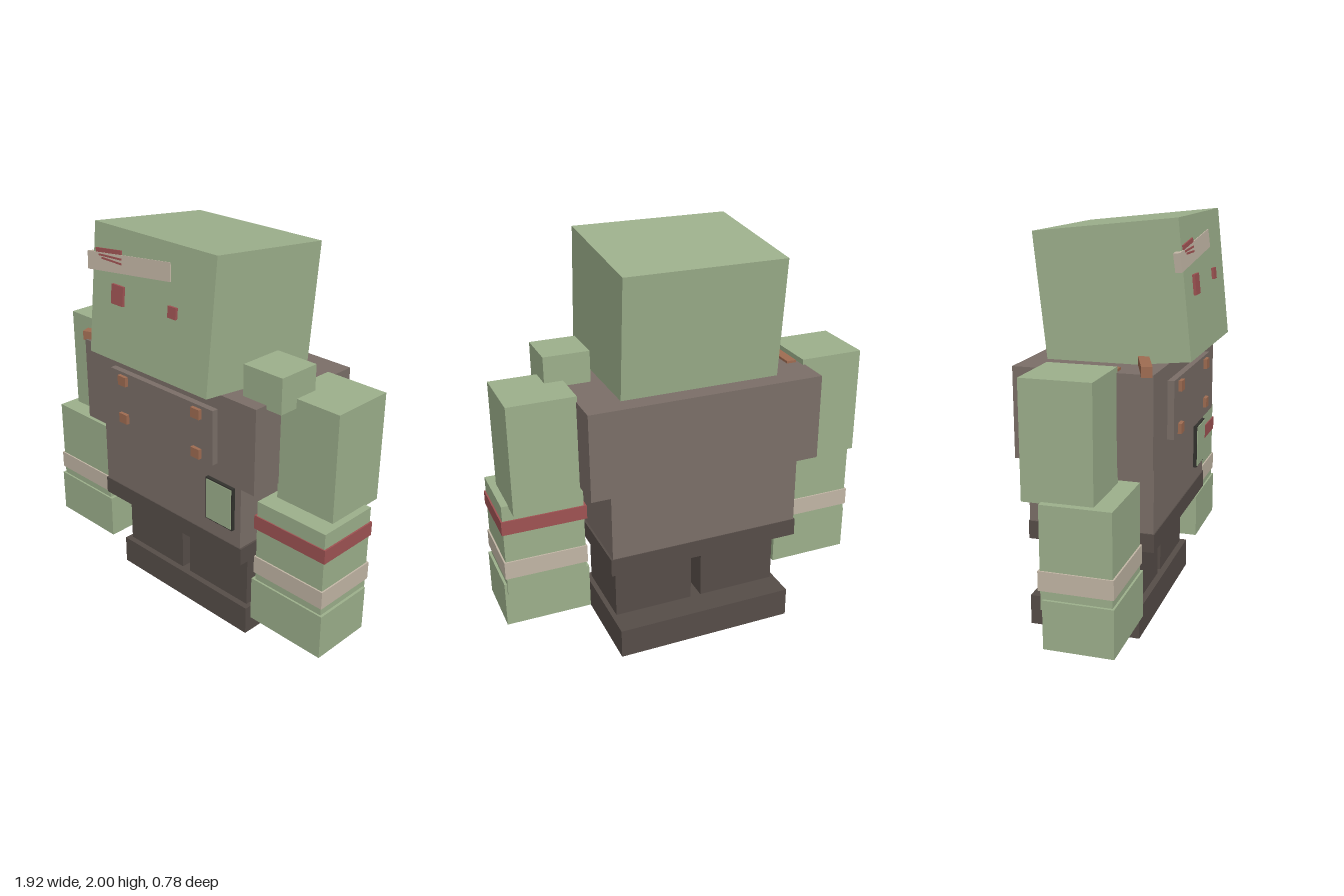
import * as THREE from 'three';

const mat = (name, color) => {
  const m = new THREE.MeshStandardMaterial({ color });
  m.name = name;
  return m;
};

export function createModel() {
  const green = mat('green skin', 0x9db08c);
  const vest = mat('brown vest', 0x7b6f68);
  const dark = mat('dark trousers', 0x564d48);
  const frame = mat('black trim', 0x33322e);
  const copper = mat('copper', 0x9f6c52);
  const red = mat('red', 0x9f5353);
  const gauze = mat('gauze', 0xc2b6a5);

  const model = new THREE.Group();
  model.name = 'blockyGiant';

  // box given by its min and max on each axis
  const box = (parent, name, material, [x0, x1], [y0, y1], [z0, z1]) => {
    const mesh = new THREE.Mesh(new THREE.BoxGeometry(x1 - x0, y1 - y0, z1 - z0), material);
    mesh.position.set((x0 + x1) / 2, (y0 + y1) / 2, (z0 + z1) / 2);
    mesh.name = name;
    parent.add(mesh);
    return mesh;
  };

  // feet and legs
  box(model, 'feet', dark, [-0.462, 0.46], [0, 0.152], [-0.39, 0.172]);
  box(model, 'rightLeg', dark, [-0.44, -0.03], [0.152, 0.472], [-0.25, 0.14]);
  box(model, 'leftLeg', dark, [0.025, 0.435], [0.152, 0.472], [-0.25, 0.14]);

  // torso
  box(model, 'belt', dark, [-0.5, 0.495], [0.472, 0.562], [-0.372, 0.255]);
  box(model, 'belly', vest, [-0.493, 0.485], [0.562, 0.905], [-0.368, 0.25]);
  box(model, 'chest', vest, [-0.595, 0.588], [0.905, 1.34], [-0.39, 0.275]);
  box(model, 'chestPlate', vest, [-0.36, 0.355], [0.985, 1.265], [0.27, 0.307]);
  for (const x of [-0.26, 0.254]) {
    for (const y of [1.02, 1.225]) {
      box(model, 'stud', copper, [x - 0.028, x + 0.028], [y - 0.025, y + 0.025], [0.3, 0.325]);
    }
  }

  // torn patch showing skin
  box(model, 'patchFrame', frame, [0.27, 0.447], [0.65, 0.878], [0.245, 0.268]);
  box(model, 'patchSkin', green, [0.277, 0.44], [0.657, 0.871], [0.264, 0.272]);

  // arms
  for (const [side, s] of [['left', 1], ['right', -1]]) {
    const arm = new THREE.Group();
    arm.name = side + 'Arm';
    const span = (a, b) => (s > 0 ? [a, b] : [-b, -a]);
    box(arm, 'upperArm', green, span(0.583, 0.913), [0.82, 1.367], [-0.226, 0.106]);
    box(arm, 'forearm', green, span(0.545, 0.948), [0.34, 0.828], [-0.132, 0.2]);
    box(arm, 'hand', green, span(0.527, 0.961), [0.158, 0.392], [-0.12, 0.21]);
    box(arm, 'wristBandage', gauze, span(0.538, 0.956), [0.433, 0.525], [-0.14, 0.208]);
    if (s > 0) box(arm, 'redBand', red, [0.532, 0.956], [0.678, 0.75], [-0.14, 0.206]);
    model.add(arm);
  }
  box(model, 'shoulderLump', green, [0.448, 0.675], [1.32, 1.495], [-0.02, 0.208]);

  // copper rods on the right shoulder
  box(model, 'shoulderRod', copper, [-0.57, -0.52], [1.325, 1.352], [-0.18, 0.103]);
  const rod = box(model, 'neckRod', copper, [-0.14, 0.14], [1.333, 1.381], [-0.025, 0.025]);
  rod.position.x = -0.488;
  rod.position.z = 0.204;
  rod.rotation.y = 0.35;

  // head, tilted back
  const head = new THREE.Group();
  head.name = 'head';
  head.position.set(0, 1.648, 0.0175);
  head.rotation.x = -0.105;
  model.add(head);
  box(head, 'skull', green, [-0.4, 0.4], [-0.319, 0.319], [-0.345, 0.345]);
  box(head, 'rightEye', red, [-0.25, -0.168], [-0.04, 0.054], [0.34, 0.358]);
  box(head, 'leftEye', red, [0.135, 0.187], [-0.012, 0.042], [0.34, 0.358]);

  // slanted head bandage with blood streaks
  const bandage = new THREE.Group();
  bandage.name = 'headBandage';
  bandage.position.set(-0.155, 0.158, 0.334);
  bandage.rotation.z = 0.11;
  head.add(bandage);
  box(bandage, 'gauzeStrip', gauze, [-0.285, 0.285], [-0.043, 0.043], [-0.016, 0.016]);
  [[0.054, 0.02], [0.028, 0.009], [0.01, 0.009]].forEach(([y, h], i) => {
    const streak = box(bandage, 'bloodStreak', red,
      [-0.22 + i * 0.02, -0.04], [y - h / 2, y + h / 2], [0.011, 0.0185]);
    streak.rotation.z = -0.06 * i;
  });

  return model;
}
